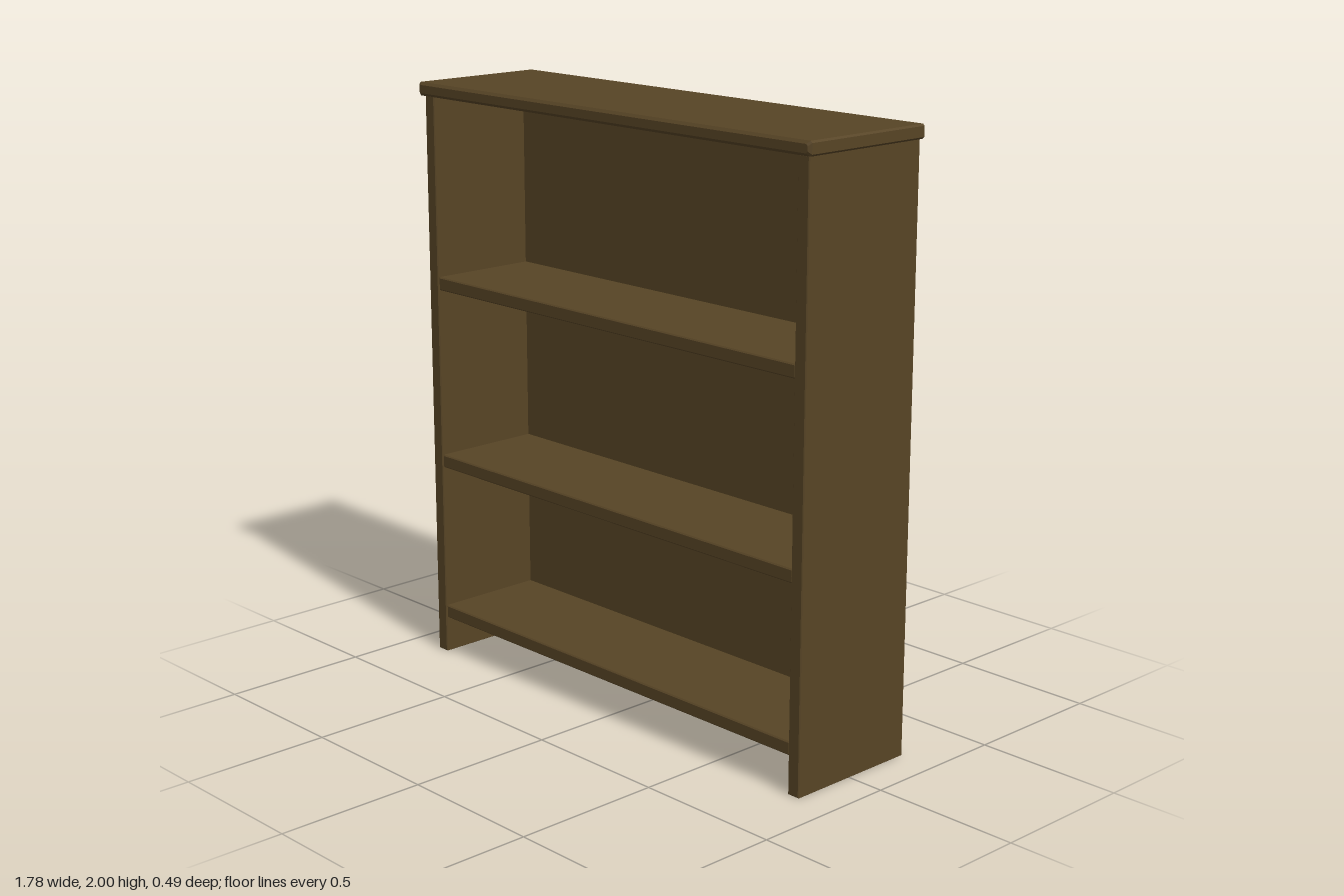
import * as THREE from 'three';

const BACK = -0.245;

// Hollow board with chamfered edges, closed at the front and open at the back
function boardGeometry(x0, x1, y0, y1, front, bevel, cornerCut) {
  const outline = (inset, z) => {
    const a = x0 + inset, b = x1 - inset, c = y0 + inset, d = y1 - inset;
    const k = cornerCut;
    return [
      [a + k, c, z], [b - k, c, z], [b, c + k, z], [b, d - k, z],
      [b - k, d, z], [a + k, d, z], [a, d - k, z], [a, c + k, z],
    ];
  };
  const rings = [outline(0, BACK), outline(0, front - bevel), outline(bevel, front)];
  const positions = [];
  const tri = (...points) => points.forEach((p) => positions.push(...p));

  // Walls and front chamfer
  for (let r = 0; r < 2; r++) {
    for (let i = 0; i < 8; i++) {
      const j = (i + 1) % 8;
      const [p, q] = [rings[r], rings[r + 1]];
      tri(p[i], p[j], q[j]);
      tri(p[i], q[j], q[i]);
    }
  }
  // Front face
  for (let i = 1; i < 7; i++) tri(rings[2][0], rings[2][i], rings[2][i + 1]);

  const geometry = new THREE.BufferGeometry();
  geometry.setAttribute('position', new THREE.Float32BufferAttribute(positions, 3));
  geometry.computeVertexNormals();
  return geometry;
}

export function createModel() {
  const group = new THREE.Group();
  const wood = new THREE.MeshStandardMaterial({ color: 0x574425, side: THREE.DoubleSide });
  wood.name = 'darkWood';

  const add = (name, geometry) => {
    const mesh = new THREE.Mesh(geometry, wood);
    mesh.name = name;
    group.add(mesh);
    return mesh;
  };

  // Overhanging top
  add('topBoard', boardGeometry(-0.888, 0.888, 1.955, 2, 0.245, 0.009, 0.006));

  // Side panels standing on the floor
  add('leftSide', boardGeometry(0.826, 0.871, 0, 1.956, 0.228, 0.003, 0.001));
  add('rightSide', boardGeometry(-0.871, -0.826, 0, 1.956, 0.228, 0.003, 0.001));

  // Shelves between the sides
  [0.125, 0.675, 1.3].forEach((y, i) => {
    add(`shelf${i + 1}`, boardGeometry(-0.827, 0.827, y, y + 0.045, 0.224, 0.004, 0.001));
  });

  // Recessed back panel
  const panel = add('backPanel', new THREE.PlaneGeometry(1.652, 1.83));
  panel.position.set(0, 1.041, -0.16);

  return group;
}
